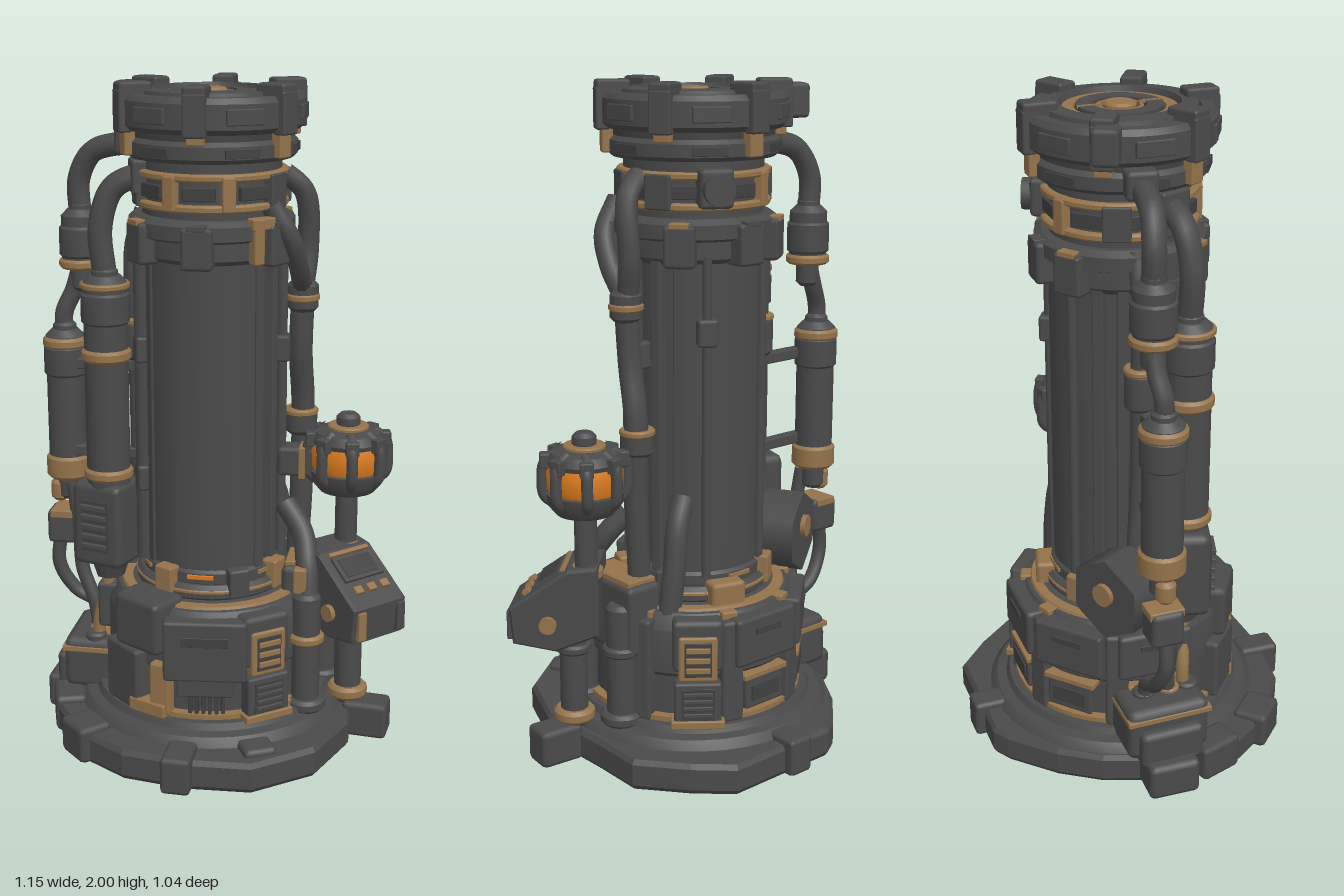
import * as THREE from 'three';
import { toCreasedNormals } from 'three/addons/utils/BufferGeometryUtils.js';
import { RoundedBoxGeometry } from 'three/addons/geometries/RoundedBoxGeometry.js';

const CX = -0.03, CZ = -0.02; // tower axis
const RAD = Math.PI / 180;
const material = (name, hex) => {
  const m = new THREE.MeshStandardMaterial({ color: hex });
  m.name = name;
  return m;
};

export function createModel() {
  const model = new THREE.Group();
  model.name = 'industrialTower';
  const grey = material('dark grey metal', 0x4a4a4a);
  const dark = material('recess grey', 0x404040);
  const tan = material('worn tan', 0x94734b);
  const orange = material('lamp orange', 0xd97a1c);

  const add = (name, geo, mat, x = 0, y = 0, z = 0, parent = model) => {
    const m = new THREE.Mesh(geo, mat);
    m.name = name;
    m.position.set(x, y, z);
    parent.add(m);
    return m;
  };
  const block = (w, h, d) => new RoundedBoxGeometry(w, h, d, 1, Math.min(w, h, d) * 0.16);
  // Turned part from [radius, height] points, bottom to top; optional arc in degrees
  const turned = (name, pts, mat, x = CX, z = CZ, n = 40, start = 0, arc = 360) =>
    add(name, toCreasedNormals(new THREE.LatheGeometry(pts.map(p => new THREE.Vector2(...p)), n, start * RAD, arc * RAD), 0.6), mat, x, 0, z);
  // Solid drum with chamfered rims
  const drum = (name, r, y0, y1, mat, x, z, n = 40, c = Math.min(0.012, (y1 - y0) / 4)) =>
    turned(name, [[0, y0], [r - c, y0], [r, y0 + c], [r, y1 - c], [r - c, y1], [0, y1]], mat, x, z, n);
  // Box facing outwards at an angle round the tower (0 = front, 90 = model left)
  const around = (name, deg, r, y, w, h, d, mat) => {
    const a = deg * RAD;
    const m = add(name, block(w, h, d), mat, CX + r * Math.sin(a), y, CZ + r * Math.cos(a));
    m.rotation.y = a;
    return m;
  };
  const pipe = (name, pts, r, mat = grey) =>
    add(name, new THREE.TubeGeometry(new THREE.CatmullRomCurve3(pts.map(p => new THREE.Vector3(...p))), 28, r, 10), mat);
  // Framed opening with slats
  const grille = (name, deg, r, y, w, h, frame, slats) => {
    around(name + 'Frame', deg, r, y, w, h, 0.05, frame);
    around(name + 'Recess', deg, r + 0.024, y, w * 0.7, h * 0.76, 0.008, dark);
    for (let i = 0; i < slats; i++)
      around(name + 'Slat', deg, r + 0.027, y + h * 0.68 * ((i + 0.5) / slats - 0.5), w * 0.62, h * 0.36 / slats, 0.014, frame);
  };

  // Irregular base plate
  const outline = [[-0.17, -0.49], [0.2, -0.49], [0.3, -0.4], [0.41, -0.27], [0.41, -0.1], [0.42, 0.14], [0.34, 0.34],
    [0.17, 0.47], [-0.03, 0.48], [-0.22, 0.45], [-0.38, 0.35], [-0.48, 0.2], [-0.48, -0.05], [-0.42, -0.22], [-0.34, -0.34], [-0.22, -0.46]];
  const plate = new THREE.ExtrudeGeometry(new THREE.Shape(outline.map(([x, z]) => new THREE.Vector2(x * 0.98, -z * 0.98))),
    { depth: 0.065, bevelEnabled: true, bevelThickness: 0.015, bevelSize: 0.01, bevelSegments: 1 });
  add('basePlate', plate.rotateX(-Math.PI / 2), grey, 0, 0.015, 0);
  turned('baseStep', [[0, 0.07], [0.43, 0.07], [0.42, 0.1], [0.4, 0.12], [0.37, 0.125], [0.36, 0.145], [0, 0.145]], grey);
  for (const [deg, r, w, d] of [[-2, 0.475, 0.09, 0.13], [-45, 0.47, 0.13, 0.11], [27, 0.445, 0.1, 0.09], [-72, 0.455, 0.14, 0.1],
    [180, 0.44, 0.085, 0.12], [84, 0.5, 0.1, 0.14], [-92, 0.47, 0.16, 0.12]])
    around('baseLug', deg, r, 0.058, w, 0.115, d, grey);

  // Lower drum
  turned('lowerDrum', [[0, 0.13], [0.31, 0.13], [0.31, 0.28], [0.325, 0.295], [0.325, 0.43], [0.295, 0.475], [0.24, 0.485], [0, 0.485]], grey);
  turned('lowerDrumTrim', [[0.28, 0.145], [0.338, 0.145], [0.338, 0.16], [0.28, 0.16]], tan);
  turned('upperDrumTrim', [[0.25, 0.47], [0.287, 0.47], [0.28, 0.485], [0.25, 0.485]], tan);
  for (const deg of [38, 142]) {
    around('ventHousing', deg, 0.3, 0.39, 0.15, 0.16, 0.1, grey);
    grille('vent', deg, 0.333, 0.355, 0.115, 0.14, tan, 3);
    grille('lowerVent', deg, 0.335, 0.215, 0.14, 0.13, grey, 4);
    around('ventTrim', deg, 0.338, 0.15, 0.16, 0.025, 0.06, tan);
  }
  for (const deg of [180, 222, -92]) {
    around('rearPanel', deg, 0.305, 0.39, 0.23, 0.15, 0.08, grey);
    around('rearPanelSlot', deg, 0.346, 0.42, 0.1, 0.02, 0.009, dark);
    around('rearLowerFrame', deg, 0.31, 0.22, 0.15, 0.1, 0.05, grey);
    around('rearLowerTrim', deg, 0.315, 0.275, 0.17, 0.018, 0.05, tan);
    around('rearLowerSlot', deg, 0.336, 0.22, 0.11, 0.05, 0.009, dark);
  }
  around('frontPanel', 6, 0.315, 0.365, 0.25, 0.19, 0.06, grey);
  around('frontPanelSlot', 6, 0.345, 0.4, 0.14, 0.03, 0.009, dark);
  around('frontPanelApron', 6, 0.31, 0.25, 0.17, 0.07, 0.05, grey);
  for (let i = 0; i < 6; i++) around('frontRib', -2 + i * 3.5, 0.315, 0.19, 0.011, 0.08, 0.03, dark);
  around('frontHousing', -32, 0.285, 0.42, 0.18, 0.17, 0.13, grey);
  around('frontHousingFoot', -42, 0.31, 0.24, 0.16, 0.2, 0.09, grey);
  around('tanBracket', -17, 0.335, 0.235, 0.065, 0.16, 0.04, tan);
  around('tanBracketFoot', -24, 0.335, 0.165, 0.13, 0.045, 0.05, tan);
  for (const deg of [160, 202, 112, -112]) {
    around('drumButtress', deg, 0.305, 0.3, 0.07, 0.32, 0.08, grey);
    around('buttressCap', deg, 0.285, 0.465, 0.05, 0.03, 0.06, tan);
  }
  around('rearTanBox', 164, 0.225, 0.5, 0.11, 0.1, 0.08, tan);

  // Collar below the shaft
  drum('lowerCollar', 0.235, 0.48, 0.53, grey);
  drum('lowerCollarBand', 0.238, 0.505, 0.518, tan);
  drum('lowerCollarNeck', 0.215, 0.52, 0.575, grey);
  for (let i = 0; i < 6; i++)
    around('collarSlot', i * 60, 0.212, 0.552, 0.08, 0.014, 0.012, i % 2 ? tan : orange);
  for (const [deg, mat] of [[-28, tan], [68, tan], [30, grey], [120, grey], [215, tan], [260, grey]])
    around('collarClamp', deg, 0.22, 0.535, 0.065, 0.09, 0.05, mat);

  // Shaft with front and back shells and side rails
  drum('shaft', 0.18, 0.55, 1.54, grey);
  for (const start of [-50, 130])
    turned('shaftShell', [[0.17, 0.56], [0.206, 0.56], [0.206, 1.52], [0.17, 1.52]], grey, CX, CZ, 16, start, 100);
  for (const deg of [52, 72, 108, 128, 232, 252, 288, 308])
    around('shaftRail', deg, 0.19, 1.04, 0.034, 0.97, 0.044, grey);
  for (const [deg, r] of [[-66, 0.026], [90, 0.016], [150, 0.014], [210, 0.014]])
    add('shaftRod', new THREE.CylinderGeometry(r, r, 0.96, 10), grey, CX + 0.212 * Math.sin(deg * RAD), 1.04, CZ + 0.212 * Math.cos(deg * RAD));
  for (const [deg, y] of [[-66, 1.22], [-66, 0.82], [90, 1.22], [150, 1.3]]) around('rodClip', deg, 0.208, y, 0.06, 0.08, 0.06, grey);

  // Upper flange and windowed neck
  turned('upperFlange', [[0, 1.49], [0.2, 1.49], [0.22, 1.51], [0.22, 1.56], [0.245, 1.57], [0.245, 1.61], [0.225, 1.625], [0, 1.625]], grey);
  drum('neck', 0.205, 1.61, 1.8, grey);
  drum('neckLowerBand', 0.225, 1.645, 1.668, tan);
  drum('neckUpperBand', 0.225, 1.732, 1.754, tan);
  for (let i = 0; i < 8; i++) {
    around('neckWindow', i * 45, 0.205, 1.698, 0.095, 0.04, 0.02, dark);
    const framed = i % 4 === 0 || i % 4 === 3;
    around('neckPost', i * 45 + 22.5, 0.213, 1.698, framed ? 0.04 : 0.08, 0.1, 0.036, framed ? tan : grey);
  }
  for (const deg of [-50, 0, 130, 180, 215, 60]) {
    around('flangeBox', deg, 0.228, 1.55, 0.09, 0.12, 0.07, grey);
    around('flangeTrim', deg, 0.23, 1.61, 0.055, 0.016, 0.068, deg % 60 ? tan : grey);
  }
  around('flangeBracket', 42, 0.24, 1.565, 0.035, 0.13, 0.035, tan);
  around('flangeBracketTop', 46, 0.238, 1.615, 0.08, 0.035, 0.035, tan);
  const stub = around('rearStub', 155, 0.21, 1.71, 0.1, 0.11, 0.08, grey);
  add('rearStubPort', new THREE.CylinderGeometry(0.045, 0.045, 0.05, 16).rotateX(Math.PI / 2), grey, 0, 0, 0.04, stub);

  // Cap with six clamps and a ringed lid
  drum('capLowerRing', 0.25, 1.785, 1.845, grey);
  drum('capGroove', 0.235, 1.83, 1.88, dark);
  turned('capRing', [[0, 1.865], [0.255, 1.865], [0.272, 1.88], [0.272, 1.95], [0.26, 1.966], [0.226, 1.966], [0.22, 1.95],
    [0.214, 1.975], [0.17, 1.98], [0.163, 1.955], [0, 1.955]], grey);
  const lidRing = (name, r0, r1, y, mat) => turned(name, [[r0, 1.94], [r1, 1.94], [r1, y], [r0, y], [r0, 1.94]], mat);
  lidRing('lidTanRing', 0.128, 0.16, 1.965, tan);
  lidRing('lidGreyRing', 0.075, 0.122, 1.972, grey);
  lidRing('lidInnerRing', 0.056, 0.066, 1.968, tan);
  drum('lidHub', 0.046, 1.95, 1.978, tan);
  for (const s of [1, -1]) add('lidSpoke', new THREE.BoxGeometry(0.007, 0.008, 0.07), tan, CX, 1.971, CZ + s * 0.09);
  for (let i = 0; i < 6; i++) {
    const deg = i * 60;
    around('capClampTop', deg, 0.236, 1.972, 0.065, 0.056, 0.1, grey);
    around('capClamp', deg, 0.268, 1.92, 0.065, 0.12, 0.04, grey);
    around('capClampTrim', deg, 0.254, i % 2 ? 1.835 : 1.855, 0.05, i % 2 ? 0.08 : 0.035, 0.034, tan);
    around('capSlot', deg + 30, 0.248, 1.814, 0.1, 0.026, 0.009, dark);
    around('capPad', deg + 30, 0.264, 1.915, 0.11, 0.045, 0.022, grey);
  }
  around('capHoseBracket', 243, 0.3, 1.935, 0.075, 0.1, 0.08, grey);
  around('capHoseSocket', 262, 0.25, 1.82, 0.09, 0.08, 0.08, grey);

  // Side tanks on the model's right: [x, z, radius, bottom, top, collars as [height, thickness]]
  for (const [x, z, r, y0, y1, collars] of [[-0.5, -0.07, 0.06, 0.76, 1.24, [[0.8, 0.08], [1.2, 0.035]]],
    [-0.335, 0.07, 0.066, 0.75, 1.44, [[0.83, 0.035], [1.2, 0.04], [1.41, 0.02]]], [-0.445, -0.08, 0.058, 1.43, 1.61, [[1.445, 0.03]]]]) {
    drum('tank', r, y0, y1, grey, x, z, 20, 0.02);
    drum('tankBulge', r + 0.007, y1 - 0.15, y1 - 0.045, grey, x, z, 20);
    for (const [y, t] of collars) drum('tankCollar', r + 0.009, y - t / 2, y + t / 2, tan, x, z, 20);
    drum('tankNeck', r * 0.6, y0 - 0.07, y1 + 0.025, grey, x, z, 16);
  }
  const vent = add('tankVentHousing', block(0.17, 0.27, 0.15), grey, -0.345, 0.67, 0.06);
  vent.rotation.y = -0.3;
  add('ventRecess', new THREE.BoxGeometry(0.09, 0.16, 0.009), dark, 0, 0, 0.075, vent);
  for (let i = 0; i < 5; i++) add('ventSlat', block(0.085, 0.016, 0.025), grey, 0, -0.062 + i * 0.031, 0.08, vent);
  add('ventHousingFoot', new THREE.CylinderGeometry(0.07, 0.045, 0.08, 8), grey, -0.34, 0.53, 0.06);
  drum('outerTankValve', 0.03, 0.68, 0.75, tan, -0.53, -0.07, 12);
  add('outerTankBox', block(0.1, 0.11, 0.1), grey, -0.515, 0.6, -0.07);
  add('outerTankBoxTrim', block(0.075, 0.025, 0.106), tan, -0.515, 0.645, -0.07);
  const bracket = add('tankBracket', new THREE.CylinderGeometry(0.13, 0.13, 0.15, 6).rotateX(Math.PI / 2), grey, -0.31, 0.6, -0.12);
  bracket.rotation.y = 0.5;
  add('bracketStud', new THREE.CylinderGeometry(0.035, 0.035, 0.02, 12).rotateX(Math.PI / 2), tan, 0, 0.02, -0.08, bracket);
  for (const y of [0.86, 1.14]) add('tankStrut', block(0.28, 0.035, 0.035), grey, -0.33, y, -0.04);

  // Hoses
  pipe('upperOuterHose', [[-0.445, 1.6, -0.08], [-0.445, 1.7, -0.08], [-0.4, 1.78, -0.07], [-0.33, 1.805, -0.06], [-0.24, 1.81, -0.05]], 0.034);
  pipe('upperInnerHose', [[-0.335, 1.44, 0.07], [-0.345, 1.58, 0.07], [-0.31, 1.69, 0.06], [-0.25, 1.725, 0.05], [-0.17, 1.73, 0.04]], 0.036);
  around('innerHoseSocket', -70, 0.21, 1.73, 0.1, 0.1, 0.06, grey);
  pipe('linkHose', [[-0.445, 1.44, -0.08], [-0.47, 1.36, -0.08], [-0.5, 1.29, -0.07], [-0.5, 1.22, -0.07]], 0.028);
  pipe('shaftSidePipe', [[-0.24, 1.62, -0.05], [-0.275, 1.5, -0.05], [-0.27, 1.25, -0.05], [-0.265, 0.9, -0.05], [-0.28, 0.6, -0.07]], 0.028);
  drum('sidePipeJoint', 0.044, 1.16, 1.28, grey, -0.27, -0.05, 14);
  drum('sidePipeCollar', 0.047, 1.27, 1.29, tan, -0.27, -0.05, 14);
  pipe('lowerOuterHose', [[-0.53, 0.58, -0.07], [-0.54, 0.46, -0.07], [-0.49, 0.37, -0.08], [-0.41, 0.32, -0.08], [-0.4, 0.22, -0.08]], 0.022);
  pipe('lowerMiddleHose', [[-0.48, 0.75, -0.04], [-0.46, 0.6, -0.03], [-0.45, 0.47, -0.02], [-0.41, 0.36, -0.01], [-0.39, 0.22, 0]], 0.022);
  pipe('lowerInnerHose', [[-0.34, 0.52, 0.06], [-0.35, 0.44, 0.06], [-0.38, 0.33, 0.05], [-0.38, 0.22, 0.05]], 0.02, tan);
  add('hoseManifold', block(0.18, 0.17, 0.26), grey, -0.4, 0.19, -0.03);
  add('hoseManifoldTrim', block(0.185, 0.018, 0.265), tan, -0.4, 0.24, -0.03);
  add('hoseManifoldStep', block(0.12, 0.12, 0.2), grey, -0.46, 0.15, -0.03);
  for (const z of [-0.08, 0, 0.06]) drum('hoseSocket', 0.034, 0.26, 0.29, z ? grey : tan, -0.39, z, 12);

  // Pipes up the model's left
  pipe('leftRiser', [[0.23, 0.55, -0.08], [0.24, 0.8, -0.08], [0.24, 1.05, -0.08], [0.235, 1.2, -0.05], [0.24, 1.38, -0.04]], 0.036);
  drum('riserJoint', 0.047, 1.33, 1.42, grey, 0.24, -0.04, 14);
  drum('riserCollar', 0.051, 1.36, 1.385, tan, 0.24, -0.04, 14);
  drum('riserLowerJoint', 0.05, 0.94, 1.02, grey, 0.235, -0.08, 14);
  drum('riserLowerCollar', 0.053, 1.0, 1.02, tan, 0.235, -0.08, 14);
  pipe('frontBranch', [[0.24, 1.4, -0.03], [0.235, 1.48, 0.04], [0.215, 1.57, 0.09], [0.16, 1.66, 0.1]], 0.03);
  pipe('rearBranch', [[0.24, 1.4, -0.05], [0.25, 1.52, -0.07], [0.24, 1.68, -0.05], [0.18, 1.74, -0.03]], 0.032);
  pipe('rearFeed', [[0.19, 0.46, -0.17], [0.17, 0.6, -0.17], [0.15, 0.72, -0.16], [0.11, 0.8, -0.14]], 0.035);

  // Columns carrying the console
  for (const [x, z, r, top] of [[0.405, 0.02, 0.042, 0.46], [0.285, 0.13, 0.043, 0.5], [0.31, -0.09, 0.045, 0.5]]) {
    drum('column', r, 0.1, top, grey, x, z, 16);
    drum('columnFoot', r + 0.02, 0.12, 0.16, x > 0.4 ? tan : grey, x, z, 16);
    drum('columnCollar', r + 0.012, 0.34, 0.37, x < 0.3 ? tan : grey, x, z, 16);
  }
  pipe('consoleFeed', [[0.285, 0.48, 0.13], [0.28, 0.58, 0.1], [0.26, 0.66, 0.05], [0.2, 0.74, 0.01]], 0.034);
  add('feedTrim', block(0.04, 0.08, 0.04), tan, 0.265, 0.54, 0.135);
  add('sideHousing', block(0.12, 0.22, 0.24), grey, 0.26, 0.45, -0.03);
  add('sideHousingTrim', block(0.1, 0.025, 0.2), tan, 0.26, 0.56, -0.03);

  // Sloping console
  const desk = new THREE.Group();
  desk.name = 'console';
  desk.position.set(0.33, 0, -0.015);
  desk.rotation.y = -Math.PI / 4;
  model.add(desk);
  const side = [[0, 0.42], [0.12, 0.37], [0.24, 0.39], [0.25, 0.49], [0.08, 0.61], [0, 0.62]].map(p => new THREE.Vector2(...p));
  add('consoleBody', new THREE.ExtrudeGeometry(new THREE.Shape(side),
    { depth: 0.18, bevelEnabled: true, bevelSize: 0.008, bevelThickness: 0.01, bevelSegments: 1 }), grey, 0, 0, -0.09, desk);
  const face = new THREE.Group();
  face.name = 'consoleFace';
  face.position.set(0.167, 0.56, 0);
  face.rotation.z = -Math.atan2(0.12, 0.17);
  desk.add(face);
  add('screenFrame', block(0.09, 0.016, 0.15), grey, -0.03, 0, 0, face);
  add('screen', new THREE.BoxGeometry(0.065, 0.008, 0.12), dark, -0.03, 0.006, 0, face);
  add('screenTrim', block(0.014, 0.018, 0.15), tan, -0.085, 0, 0, face);
  for (const z of [-0.05, 0, 0.05]) add('consoleKey', block(0.026, 0.022, 0.03), tan, 0.05, 0, z, face);
  for (const s of [1, -1]) {
    add('consoleKnob', new THREE.CylinderGeometry(0.026, 0.026, 0.02, 12).rotateX(Math.PI / 2), tan, 0.14, 0.45, s * 0.105, desk);
    add('consoleEdge', block(0.02, 0.09, 0.03), s > 0 ? tan : grey, 0.255, 0.44, s * 0.075, desk);
  }

  // Caged lamp
  const LX = 0.385, LZ = -0.025;
  drum('lampStem', 0.034, 0.5, 0.8, grey, LX, LZ, 16);
  drum('lampStemFoot', 0.05, 0.58, 0.62, tan, LX, LZ, 16);
  turned('lampBase', [[0, 0.785], [0.085, 0.785], [0.11, 0.815], [0.115, 0.85], [0.1, 0.855], [0, 0.855]], grey, LX, LZ, 24);
  turned('lampGlass', [[0, 0.83], [0.095, 0.83], [0.112, 0.865], [0.112, 0.915], [0.1, 0.945], [0, 0.945]], orange, LX, LZ, 24);
  turned('lampTop', [[0, 0.93], [0.105, 0.93], [0.11, 0.945], [0.098, 0.97], [0.06, 0.98], [0, 0.98]], grey, LX, LZ, 24);
  drum('lampTopTrim', 0.062, 0.975, 0.99, tan, LX, LZ, 20);
  drum('lampFinial', 0.036, 0.98, 1.025, grey, LX, LZ, 12);
  for (let i = 0; i < 8; i++) {
    const a = i * Math.PI / 4 + 0.2, at = (r, y) => [LX + r * Math.sin(a), y, LZ + r * Math.cos(a)];
    pipe('lampRib', [at(0.08, 0.81), at(0.116, 0.84), at(0.122, 0.89), at(0.114, 0.94), at(0.075, 0.97)], 0.017);
    add('lampLug', block(0.04, 0.045, 0.03), grey, ...at(0.114, 0.945)).rotation.y = a;
  }
  add('lampArm', block(0.14, 0.09, 0.08), grey, 0.245, 0.87, LZ);
  add('lampArmTrim', block(0.02, 0.1, 0.09), tan, 0.25, 0.87, LZ);
  return model;
}
